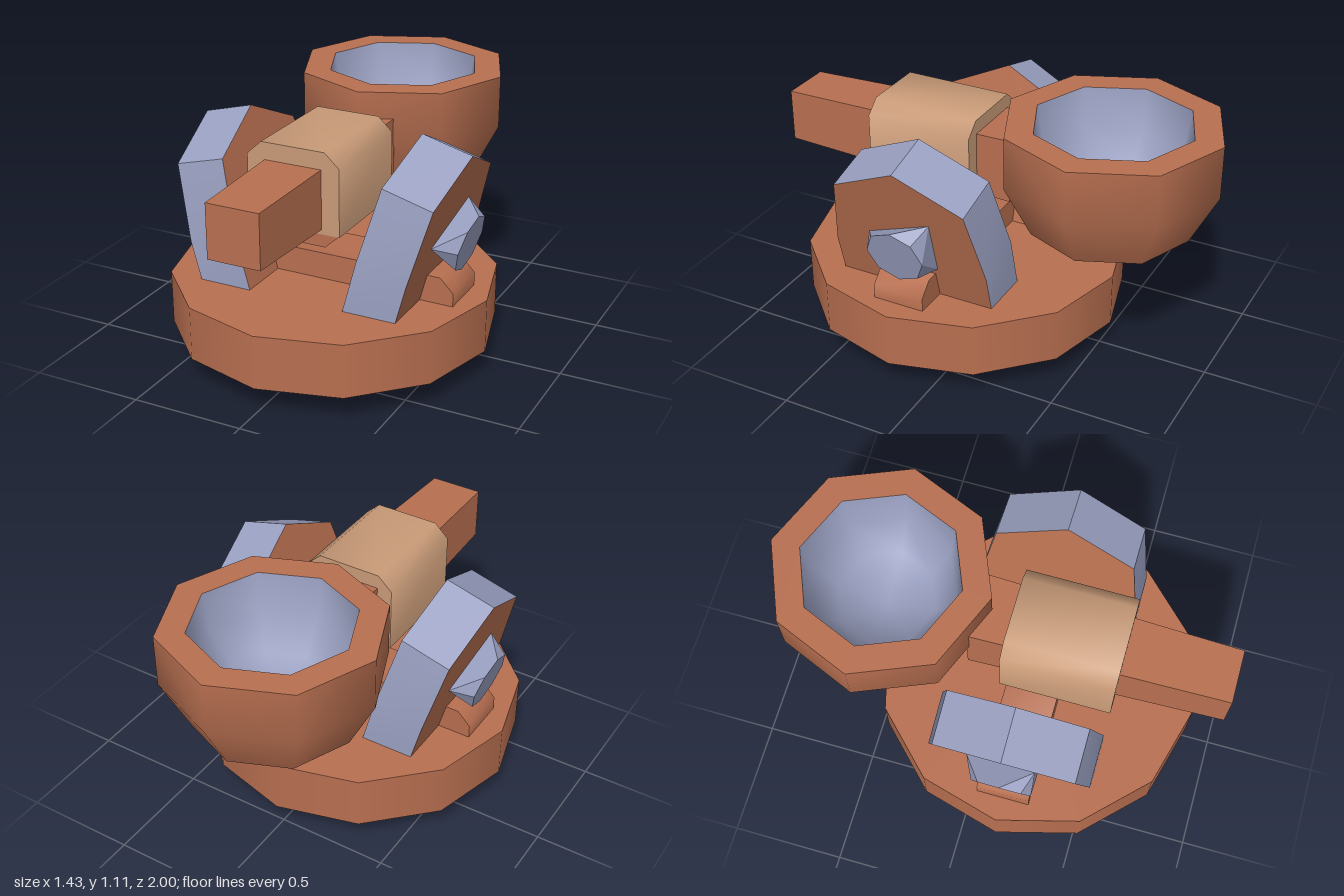
import * as THREE from 'three';
import { toCreasedNormals } from 'three/addons/utils/BufferGeometryUtils.js';
import { ConvexGeometry } from 'three/addons/geometries/ConvexGeometry.js';

const material = (name, color) => {
  const m = new THREE.MeshStandardMaterial({ color });
  m.name = name;
  return m;
};

const CENTRE_Z = 0.165; // axis of the turntable
const TILT = Math.PI / 12; // outward lean of the side arms

export function createModel() {
  const rust = material('rust', 0xb86f50);
  const steel = material('blueGrey', 0x999fc0);
  const tan = material('tan', 0xc99b78);
  const model = new THREE.Group();
  model.name = 'swivelMount';

  const add = (parent, name, geometry, mat) => {
    const mesh = new THREE.Mesh(geometry, mat);
    mesh.name = name;
    parent.add(mesh);
    return mesh;
  };
  const extrude = (points, depth, crease) => {
    const shape = new THREE.Shape(points.map(([x, y]) => new THREE.Vector2(x, y)));
    return toCreasedNormals(new THREE.ExtrudeGeometry(shape, { depth, bevelEnabled: false }), crease);
  };
  const lathe = (points) =>
    toCreasedNormals(new THREE.LatheGeometry(points.map(([r, y]) => new THREE.Vector2(r, y)), 8), 1);

  // Turntable: two twelve-sided discs
  const foot = add(model, 'foot', new THREE.CylinderGeometry(0.47, 0.47, 0.12, 12), rust);
  foot.position.set(0, 0.06, CENTRE_Z);
  const base = add(model, 'turntable', new THREE.CylinderGeometry(0.715, 0.715, 0.24, 12), rust);
  base.position.set(0, 0.24, CENTRE_Z);

  // Crossbar with chamfered ends
  const crossbar = add(model, 'crossbar', extrude(
    [[-0.61, 0.35], [0.61, 0.35], [0.61, 0.42], [0.55, 0.48], [-0.55, 0.48], [-0.61, 0.42]], 0.235, 1), rust);
  crossbar.position.z = 0.05;

  // Leaning arms: rust faces, blue-grey edges, the second turned half a circle
  const armGeometry = extrude([
    [-0.362, -0.06], [0.362, -0.06], [0.362, 0.238], [0.305, 0.57],
    [0, 0.714], [-0.305, 0.57], [-0.362, 0.238]], 0.232, 0.6).rotateY(Math.PI / 2);

  // Bolt: triangular root widening into an octagonal head
  const boltPoints = [[0.18, 0.342], [-0.13, 0.471], [-0.13, 0.219]]
    .map(([z, y]) => new THREE.Vector3(0.231, y, z));
  for (let i = 0; i < 8; i++) {
    const a = (i * Math.PI) / 4;
    boltPoints.push(new THREE.Vector3(0.333, 0.343 + 0.132 * Math.sin(a), 0.132 * Math.cos(a)));
  }
  const boltGeometry = new ConvexGeometry(boltPoints);

  for (const [side, turn] of [['left', 0], ['right', Math.PI]]) {
    const support = new THREE.Group();
    support.name = side + 'Support';
    support.position.z = CENTRE_Z;
    support.rotation.y = turn;
    model.add(support);
    const lean = new THREE.Group();
    lean.name = side + 'Lean';
    lean.position.set(0.22, 0.36, 0);
    lean.rotation.z = -TILT;
    support.add(lean);
    add(lean, side + 'Arm', armGeometry, [rust, steel]);
    add(lean, side + 'Bolt', boltGeometry, steel);
  }

  // Sleeve around the beam, with a rust underside
  const sleeve = add(model, 'sleeve', extrude(
    [[-0.21, 0.69], [0.21, 0.69], [0.21, 0.985], [0.145, 1.045], [-0.145, 1.045], [-0.21, 0.985]], 0.49, 1), tan);
  sleeve.position.z = 0.04;
  const under = add(model, 'sleeveUnderside', extrude(
    [[-0.145, 0.635], [0.145, 0.635], [0.205, 0.69], [-0.205, 0.69]], 0.49, 0.5), rust);
  under.position.z = 0.04;

  // Square beam, slightly thicker towards the cup
  const beamGeometry = new THREE.BoxGeometry(1, 1, 1.12);
  const p = beamGeometry.attributes.position;
  for (let i = 0; i < p.count; i++) {
    const width = p.getZ(i) > 0 ? 0.236 : 0.29;
    p.setXY(i, p.getX(i) * width, p.getY(i) * width);
  }
  beamGeometry.computeVertexNormals();
  add(model, 'beam', beamGeometry, rust).position.set(0, 0.84, 0.44);

  // Eight-sided cup with a blue-grey bowl
  const cup = new THREE.Group();
  cup.name = 'cup';
  cup.position.z = -0.525;
  model.add(cup);
  add(cup, 'cupShell', lathe(
    [[0, 0.635], [0.355, 0.635], [0.475, 0.87], [0.475, 1.105], [0.35, 1.105]]), rust);
  add(cup, 'cupBowl', lathe(
    [[0.35, 1.105], [0.32, 0.93], [0.22, 0.79], [0, 0.72]]), steel);

  return model;
}
